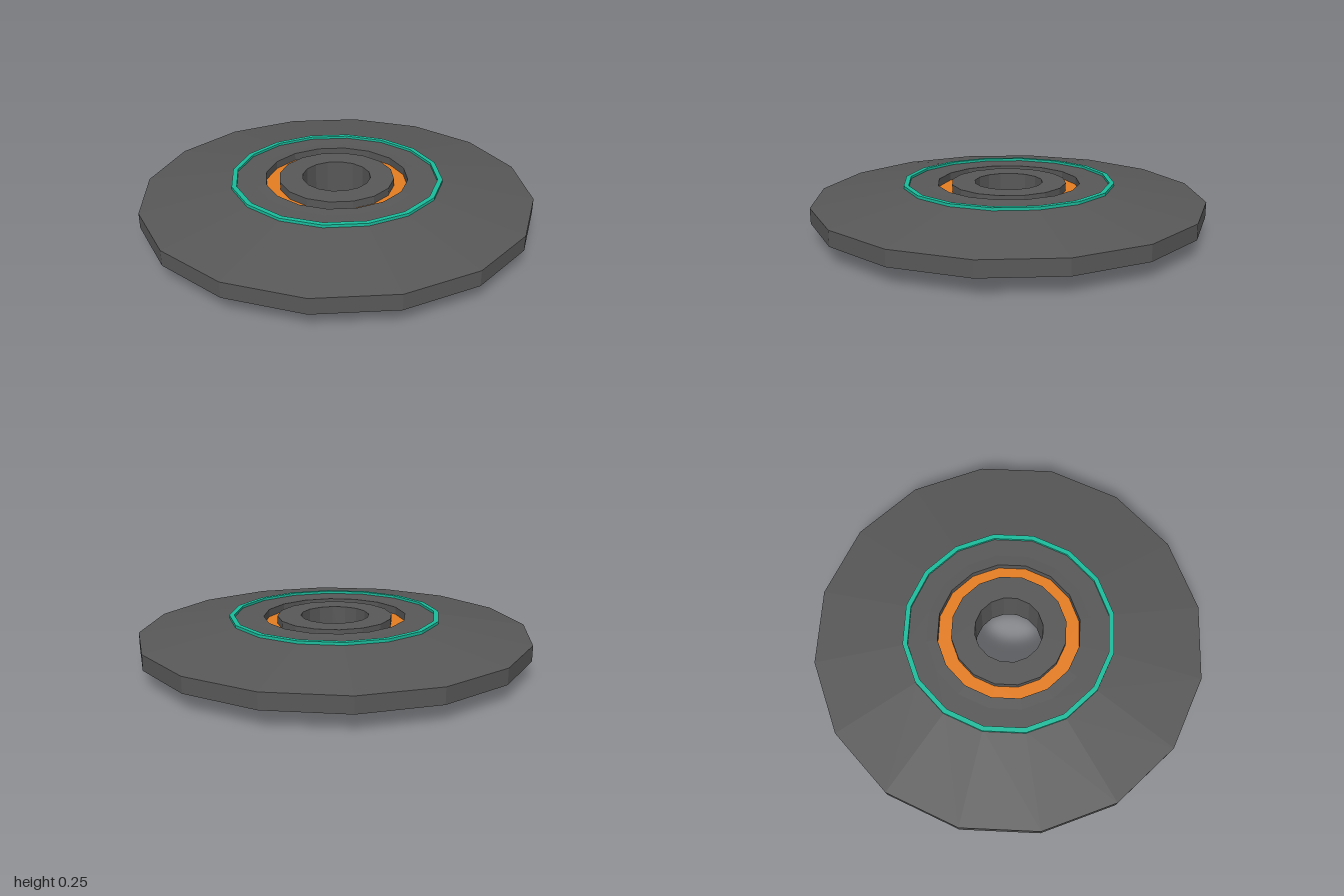
import * as THREE from 'three';

const SIDES = 16;
const MID = 0.125; // height of the mirror plane

const paint = (name, color) => {
  const m = new THREE.MeshStandardMaterial({ color, flatShading: true });
  m.name = name;
  return m;
};

// Revolves a closed counter-clockwise (radius, height) profile into a 16-sided ring.
// Radii are measured to the middle of the flats.
function ring(name, profile, material) {
  const k = 1 / Math.cos(Math.PI / SIDES);
  const pts = [...profile, profile[0]].map(([r, y]) => new THREE.Vector2(r * k, y));
  const mesh = new THREE.Mesh(new THREE.LatheGeometry(pts, SIDES, Math.PI / SIDES), material);
  mesh.name = name;
  return mesh;
}

// Rectangular cross-section
const band = (r0, r1, y0, y1) => [[r0, y0], [r1, y0], [r1, y1], [r0, y1]];

export function createModel() {
  const grey = paint('dark grey', 0x585858);
  const teal = paint('teal', 0x1abc9c);
  const orange = paint('orange', 0xe67e22);
  const group = new THREE.Group();
  group.name = 'disc';

  // Tapered disc body, mirrored above and below the middle
  const upper = [[1, 0.165], [0.53, 0.237], [0.42, 0.237], [0.365, 0.24]];
  const lower = upper.map(([r, y]) => [r, 2 * MID - y]).reverse();
  group.add(ring('discBody', [...lower, ...upper], grey));

  // Hub with a through hole
  group.add(ring('hub', band(0.175, 0.295, 0.009, 0.241), grey));

  // Recessed ring filling the groove between hub and disc
  group.add(ring('grooveRing', band(0.295, 0.365, 0.05, 0.2), orange));

  // Thin accent rings on both faces
  group.add(ring('upperAccentRing', band(0.515, 0.54, 0.235, 0.25), teal));
  group.add(ring('lowerAccentRing', band(0.515, 0.54, 0, 0.015), teal));

  return group;
}
